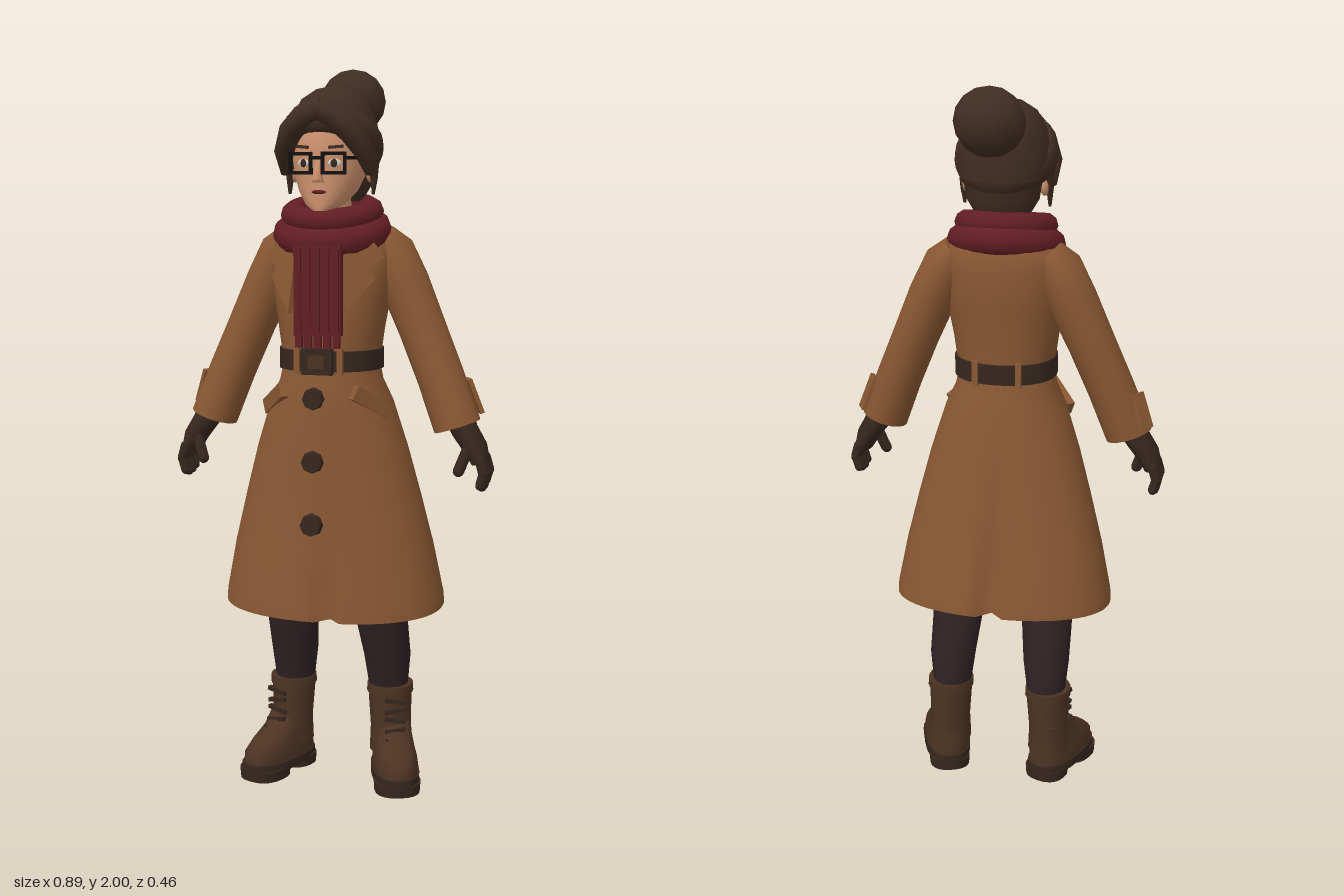
import * as THREE from 'three';

const mat = (name, color, double) => {
  const m = new THREE.MeshStandardMaterial({ color });
  m.name = name;
  if (double) m.side = THREE.DoubleSide;
  return m;
};

// Joins oval rings [x, y, z, radiusX, radiusZ, tilt], listed bottom to top.
// side mirrors in x; power below 1 squares the oval; rule moves a point.
function loft(rings, { segs = 20, side = 1, power = 1, caps = true, rule } = {}) {
  const list = rings.map((r) => [...r]);
  if (caps) {
    const a = list[0], b = list[list.length - 1];
    list.unshift([a[0], a[1], a[2], 0, 0, 0], [...a]);
    list.push([...b], [b[0], b[1], b[2], 0, 0, 0]);
  }
  const pow = (v) => Math.sign(v) * Math.abs(v) ** power;
  const pos = [], index = [];
  list.forEach(([x, y, z, rx, rz, tilt = 0], j) => {
    for (let i = 0; i < segs; i++) {
      const a = (i / segs) * Math.PI * 2;
      const c = pow(Math.cos(a)) * rx, s = pow(Math.sin(a)) * rz, t = tilt * side;
      const p = new THREE.Vector3(x * side + c * Math.cos(t), y + c * Math.sin(t), z + s);
      if (rule) rule(p, i);
      pos.push(p.x, p.y, p.z);
      // the second and second-last bands only repeat the rim, for sharp caps
      if (j === list.length - 1 || (caps && (j === 1 || j === list.length - 3))) continue;
      const n = (i + 1) % segs, k = j * segs;
      index.push(k + i, k + segs + i, k + n, k + n, k + segs + i, k + segs + n);
    }
  });
  const g = new THREE.BufferGeometry();
  g.setAttribute('position', new THREE.Float32BufferAttribute(pos, 3));
  g.setIndex(index);
  g.computeVertexNormals();
  return g;
}

export function createModel() {
  const model = new THREE.Group();
  const coat = mat('coat brown', 0x8a5833, true);
  const wool = mat('wool and hair brown', 0x402d22);
  const scarfRed = mat('scarf red', 0x621e24);
  const skin = mat('skin', 0xd0946f);
  const black = mat('glasses black', 0x141012);
  const legging = mat('legging charcoal', 0x2e2224);
  const leather = mat('boot leather', 0x4c3322);
  const dark = mat('dark leather', 0x36271f);
  const toe = mat('toe tan', 0x80532f);
  const white = mat('eye white', 0xd8cfc6);

  const add = (name, geo, m, p = [0, 0, 0], r = [0, 0, 0], parent = model) => {
    const mesh = new THREE.Mesh(geo, m);
    mesh.name = name;
    mesh.position.set(...p);
    mesh.rotation.set(r[0], r[1], r[2], 'YXZ');
    parent.add(mesh);
    return mesh;
  };
  const box = (w, h, d) => new THREE.BoxGeometry(w, h, d);
  const ball = (x, y, z, w = 12, h = 8) => new THREE.SphereGeometry(1, w, h).scale(x, y, z);
  const ringBand = (rx, rz, tube, tall) =>
    new THREE.TorusGeometry(1, tube, 10, 28).rotateX(Math.PI / 2).scale(rx, tall, rz);
  const finger = (name, a, b, r) => {
    const from = new THREE.Vector3(...a), d = new THREE.Vector3(...b).sub(from);
    const m = add(name, new THREE.CapsuleGeometry(r, d.length(), 3, 8), dark);
    m.position.copy(from).addScaledVector(d, 0.5);
    m.quaternion.setFromUnitVectors(new THREE.Vector3(0, 1, 0), d.normalize());
  };

  // Coat body and flared skirt with a front slit and a back pleat
  add('coatBody', loft([
    [0, 1.18, 0.05, 0.128, 0.125], [0, 1.3, 0.05, 0.145, 0.127], [0, 1.4, 0.042, 0.162, 0.135],
    [0, 1.5, 0.028, 0.175, 0.128], [0, 1.56, 0.018, 0.155, 0.105], [0, 1.61, 0.015, 0.085, 0.08],
  ], { segs: 28, power: 0.92 }), coat);
  add('coatSkirt', loft([
    [0, 0.53, 0.02, 0.31, 0.208], [0, 0.56, 0.021, 0.308, 0.206], [0, 0.7, 0.027, 0.28, 0.188],
    [0, 0.84, 0.033, 0.245, 0.172], [0, 0.97, 0.04, 0.21, 0.158], [0, 1.1, 0.046, 0.168, 0.146],
    [0, 1.16, 0.05, 0.14, 0.134], [0, 1.22, 0.05, 0.128, 0.125],
  ], {
    segs: 64, power: 0.9, caps: false,
    rule: (p, i) => {
      const drop = Math.max(0, (1.0 - p.y) / 0.47);
      if (i === 15) p.z -= 0.035 * drop;
      if (i === 48) p.z += 0.045 * drop;
      p.y -= p.z * 0.07 * drop;
    },
  }), coat);

  // Belt, buckle and buttons
  add('belt', loft([[0, 1.192, 0.05, 0.142, 0.134], [0, 1.247, 0.05, 0.142, 0.134]],
    { segs: 28, power: 0.92 }), dark);
  add('buckle', box(0.085, 0.07, 0.02), dark, [0, 1.22, 0.185]);
  add('bucklePlate', box(0.045, 0.035, 0.008), leather, [0, 1.22, 0.197]);
  for (const x of [-0.06, 0.06]) {
    add('frontBeltLoop', box(0.016, 0.07, 0.012), coat, [x, 1.22, 0.176]);
    add('backBeltLoop', box(0.016, 0.07, 0.012), coat, [x, 1.22, -0.076]);
  }
  [[1.12, 0.193], [0.95, 0.204], [0.78, 0.217]].forEach(([y, z]) =>
    add('button', new THREE.CylinderGeometry(0.028, 0.032, 0.022, 8).rotateX(Math.PI / 2),
      dark, [-0.01, y, z]));

  // Scarf loops, hanging tail and fringe
  add('lowerScarfLoop', ringBand(0.122, 0.115, 0.33, 0.13), scarfRed, [0, 1.56, 0.045], [0.26, 0, 0]);
  add('upperScarfLoop', ringBand(0.105, 0.1, 0.34, 0.1), scarfRed, [0, 1.61, 0.045], [0.2, 0, 0]);
  add('scarfTail', box(0.13, 0.24, 0.022), scarfRed, [0.002, 1.41, 0.184]);
  for (let i = 0; i < 5; i++) {
    const x = -0.05 + i * 0.026;
    add('scarfRib', box(0.017, 0.22, 0.01), scarfRed, [x, 1.41, 0.197]);
    add('scarfFringe', box(0.019, 0.04, 0.014), scarfRed, [x, 1.277, 0.188]);
  }

  // Head and face
  add('neck', loft([[0, 1.54, 0.03, 0.05, 0.05], [0, 1.7, 0.045, 0.05, 0.055]]), skin);
  add('head', loft([
    [0, 1.617, 0.14, 0.025, 0.03], [0, 1.635, 0.11, 0.053, 0.063], [0, 1.67, 0.08, 0.078, 0.093],
    [0, 1.71, 0.066, 0.094, 0.108], [0, 1.76, 0.058, 0.102, 0.118], [0, 1.82, 0.05, 0.105, 0.125],
    [0, 1.88, 0.04, 0.09, 0.11],
  ], { segs: 24 }), skin);
  add('nose', loft([[0, 1.692, 0.175, 0.017, 0.014], [0, 1.702, 0.178, 0.015, 0.02],
    [0, 1.75, 0.172, 0.007, 0.01]], { segs: 8 }), skin);
  add('mouth', ball(0.02, 0.006, 0.006), scarfRed, [0, 1.667, 0.17]);
  add('glassesBridge', box(0.03, 0.009, 0.008), black, [0, 1.755, 0.188]);

  // Knitted hat, rolled brim and pompom
  add('backHair', loft([[0, 1.64, 0.0, 0.07, 0.05], [0, 1.69, 0.0, 0.1, 0.075],
    [0, 1.8, 0.01, 0.115, 0.1]]), wool);
  add('hatCrown', loft([
    [0, 1.745, 0.0, 0.118, 0.1], [0, 1.8, 0.02, 0.128, 0.122], [0, 1.86, 0.03, 0.113, 0.13],
    [0, 1.91, 0.028, 0.087, 0.105], [0, 1.938, 0.022, 0.048, 0.06], [0, 1.946, 0.02, 0.01, 0.015],
  ], { segs: 14 }), wool);
  add('hatBrim', ringBand(0.113, 0.125, 0.23, 0.185), wool, [0, 1.797, 0.048], [-0.52, 0, 0]);
  add('pompom', ball(0.095, 0.09, 0.078, 10, 8), wool, [0, 1.91, -0.155]);

  // Outlines for lapels and glasses
  const lapelShape = new THREE.Shape([[-0.055, -0.11], [0.035, -0.015], [0.012, 0.005],
    [0.062, 0.04], [0.02, 0.1], [-0.05, 0.08]].map((p) => new THREE.Vector2(...p)));
  const lapelGeo = new THREE.ExtrudeGeometry(lapelShape, { depth: 0.014, bevelEnabled: false });
  const mirrored = lapelShape.getPoints().map((p) => new THREE.Vector2(-p.x, p.y));
  const lapelMirror = new THREE.ExtrudeGeometry(new THREE.Shape(mirrored),
    { depth: 0.014, bevelEnabled: false });
  const rect = (S, w, h) => new S([[-w, -h], [w, -h], [w, h], [-w, h]].map((p) => new THREE.Vector2(...p)));
  const lens = rect(THREE.Shape, 0.034, 0.029);
  lens.holes.push(rect(THREE.Path, 0.025, 0.02));
  const lensGeo = new THREE.ExtrudeGeometry(lens, { depth: 0.008, bevelEnabled: false });

  for (const s of [-1, 1]) {
    // Face details and glasses
    add('ear', ball(0.014, 0.032, 0.022), skin, [s * 0.106, 1.722, 0.04]);
    add('eye', ball(0.018, 0.011, 0.005), white, [s * 0.043, 1.742, 0.167], [0, s * 0.35, 0]);
    add('iris', ball(0.009, 0.011, 0.004), dark, [s * 0.042, 1.742, 0.171], [0, s * 0.35, 0]);
    add('eyebrow', box(0.04, 0.008, 0.008), wool, [s * 0.046, 1.784, 0.166], [0, s * 0.4, s * 0.08]);
    add('glassesFrame', lensGeo, black, [s * 0.045, 1.742, 0.182], [0, s * 0.12, 0]);
    add('glassesTemple', box(0.006, 0.009, 0.15), black, [s * 0.094, 1.756, 0.113], [0, s * -0.2, 0]);

    // Swept fringe and side lock
    add('fringeHair', loft([
      [0.118, 1.71, 0.09, 0.01, 0.02, 0.1], [0.113, 1.765, 0.115, 0.026, 0.045, 0.35],
      [0.085, 1.82, 0.145, 0.034, 0.046, 0.7], [0.045, 1.86, 0.162, 0.035, 0.042, 1],
      [-0.01, 1.882, 0.168, 0.03, 0.038, 1.35],
    ], { side: s, segs: 12 }), wool);
    add('sideLock', loft([[0.117, 1.66, 0.055, 0.004, 0.006], [0.118, 1.7, 0.05, 0.009, 0.016],
      [0.112, 1.77, 0.05, 0.02, 0.04]], { side: s, segs: 10 }), wool);

    // Lapels, pocket flaps and sleeves
    add('lapel', s > 0 ? lapelGeo : lapelMirror, coat, [s * 0.108, 1.455, 0.137], [-0.18, s * 0.55, 0]);
    add('pocketFlap', box(0.125, 0.04, 0.022), coat, [s * 0.135, 1.11, 0.136], [0, s * 0.84, s * -0.5]);
    add('sleeve', loft([
      [0.35, 1.04, 0.035, 0.065, 0.066, 0.32], [0.3, 1.17, 0.022, 0.064, 0.068, 0.35],
      [0.245, 1.3, 0.01, 0.064, 0.071, 0.4], [0.192, 1.42, 0.0, 0.067, 0.077, 0.42],
      [0.155, 1.505, 0.0, 0.062, 0.08, 0.55], [0.13, 1.55, 0.002, 0.035, 0.055, 0.75],
    ], { side: s }), coat);
    add('cuffTab', box(0.012, 0.1, 0.045), coat, [s * 0.388, 1.12, 0.0], [0, s * 0.5, s * 0.38]);

    // Gloved hands
    add('glovePalm', loft([
      [0.418, 0.945, 0.043, 0.024, 0.048, 0.25], [0.402, 0.985, 0.043, 0.032, 0.052, 0.35],
      [0.372, 1.03, 0.04, 0.036, 0.046, 0.4], [0.36, 1.06, 0.038, 0.04, 0.044, 0.4],
    ], { side: s, segs: 14 }), dark);
    for (let i = 0; i < 4; i++) {
      const z = 0.005 + i * 0.025, low = [0.89, 0.882, 0.88, 0.887][i];
      finger('gloveFinger', [s * 0.423, 0.955, z], [s * 0.433, 0.92, z], 0.0145);
      finger('gloveFingertip', [s * 0.433, 0.92, z], [s * 0.424, low, z], 0.0135);
    }
    finger('gloveThumb', [s * 0.388, 0.985, 0.075], [s * 0.366, 0.925, 0.088], 0.0155);

    // Legs and boot shafts
    add('leg', loft([
      [0.14, 0.25, -0.05, 0.053, 0.057], [0.138, 0.36, -0.04, 0.066, 0.07],
      [0.13, 0.5, 0.008, 0.075, 0.07], [0.115, 0.68, 0.03, 0.08, 0.075],
    ], { side: s }), legging);
    add('bootShaft', loft([
      [0.15, 0.08, -0.045, 0.062, 0.066], [0.148, 0.15, -0.045, 0.057, 0.064],
      [0.145, 0.24, -0.047, 0.061, 0.067], [0.145, 0.275, -0.047, 0.062, 0.068],
    ], { side: s }), leather);
    add('bootCuff', loft([[0.145, 0.252, -0.047, 0.066, 0.071], [0.145, 0.276, -0.047, 0.065, 0.07]],
      { side: s }), leather);

    // Turned-out foot with sole, heel, toe cap and laces
    const foot = new THREE.Group();
    foot.name = 'bootFoot';
    foot.position.set(s * 0.153, 0, -0.05);
    foot.rotation.y = s * 0.35;
    model.add(foot);
    const part = (name, rings, m) =>
      add(name, loft(rings, { segs: 20, power: 0.82 }), m, [0, 0, 0], [0, 0, 0], foot);
    part('upper', [[0, 0.04, 0.06, 0.063, 0.13], [0, 0.075, 0.06, 0.063, 0.129],
      [0, 0.1, 0.048, 0.057, 0.112], [0, 0.13, 0.02, 0.052, 0.08], [0, 0.17, 0, 0.05, 0.062]], leather);
    part('sole', [[0, 0.022, 0.062, 0.067, 0.137], [0, 0.048, 0.062, 0.067, 0.137]], dark);
    part('frontTread', [[0, 0, 0.125, 0.064, 0.07], [0, 0.03, 0.125, 0.066, 0.073]], dark);
    part('heel', [[0, 0, -0.015, 0.058, 0.056], [0, 0.03, -0.015, 0.06, 0.058]], dark);
    add('toeCap', ball(0.048, 0.03, 0.05), toe, [0, 0.08, 0.128], [0.3, 0, 0], foot);
    for (let i = 0; i < 5; i++) {
      add('lace', box(0.06, 0.011, 0.014), dark, [0, 0.125 + i * 0.028, [0.088, 0.072, 0.066, 0.066, 0.068][i]],
        [0, 0, (i % 2 ? 1 : -1) * 0.15], foot);
    }
  }
  return model;
}
